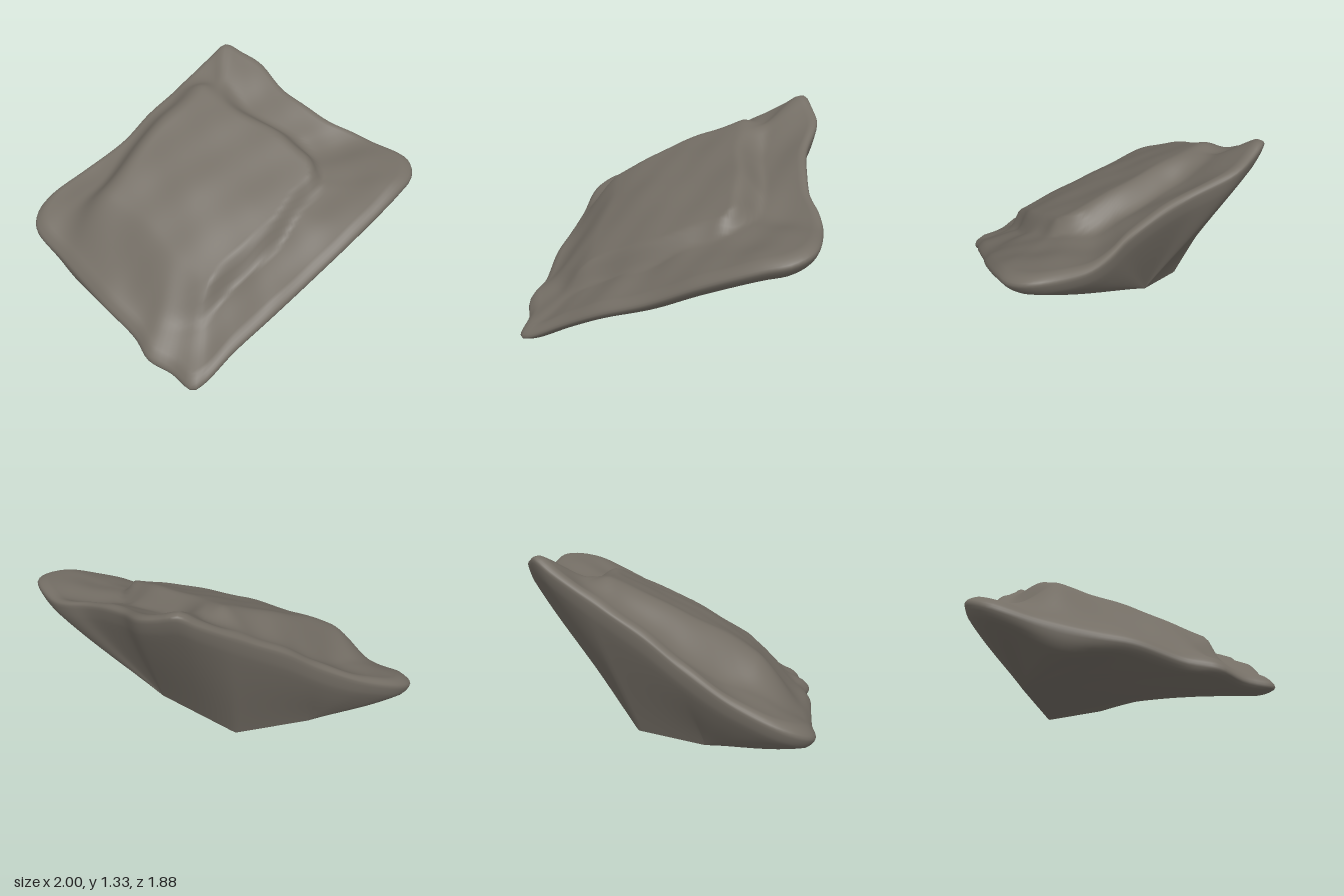
import * as THREE from 'three';

const smooth = THREE.MathUtils.smoothstep;
const mix = THREE.MathUtils.lerp;

// Rim of the slab, clockwise from the high back corner
const RIM = [
  [-0.61, 1.335, -0.775], [-0.50, 1.29, -0.83], [-0.36, 1.235, -0.87], [-0.1, 1.125, -0.82],
  [0.1, 1.065, -0.83], [0.3, 0.995, -0.86], [0.45, 0.95, -0.92], [0.6, 0.92, -0.945],
  [0.88, 0.92, -0.91], [0.98, 0.89, -0.80], [0.995, 0.85, -0.65], [0.95, 0.69, -0.3],
  [0.87, 0.5, 0.02], [0.81, 0.35, 0.35], [0.74, 0.2, 0.6], [0.70, 0.07, 0.82],
  [0.67, 0.05, 0.885], [0.5, 0.07, 0.89], [0.35, 0.11, 0.935], [0.18, 0.15, 0.89],
  [-0.1, 0.23, 0.89], [-0.3, 0.26, 0.87], [-0.6, 0.32, 0.84], [-0.88, 0.40, 0.82],
  [-0.97, 0.45, 0.74], [-1.0, 0.51, 0.6], [-0.94, 0.62, 0.34], [-0.83, 0.78, 0.06],
  [-0.78, 0.94, -0.15], [-0.72, 1.08, -0.38], [-0.65, 1.27, -0.68],
];

// Bent keel along the underside
const KEEL = [[0, 0.34, -0.52], [-0.4, 0.15, -0.23], [-0.62, 0.185, 0.2]]
  .map(p => new THREE.Vector3(...p));

const wobble = (x, z) =>
  Math.sin(7 * x + 3 * z + 1) * Math.sin(8 * z - 2 * x) +
  0.6 * Math.sin(15 * x - 6 * z) * Math.sin(13 * z + 5 * x + 2);

// How far a point lies within the raised panel, 0 to 1
function panelWeight(x, z) {
  const wave = 0.02 * Math.sin(9 * z + 1) + 0.012 * Math.sin(11 * x);
  const right = smooth(0.62 - 0.09 * (z + 0.4) + wave - x, 0, 0.08);
  const left = smooth(x + 0.76 + wave, 0, 0.32);
  const back = smooth(z + 0.56 + 0.06 * x + wave, 0, 0.17);
  const front = smooth(0.82 + wave - z, 0, 0.32);
  // Worn corners on the right
  const frontCorner = smooth(1.14 - x - z, 0, 0.18);
  const backCorner = smooth(1.0 - x + z, 0, 0.14);
  return right * left * back * front * frontCorner * backCorner;
}

function topPoint(rim, r) {
  const x = rim.x * r, z = rim.z * r;
  const lip = 0.045 * Math.sqrt(Math.min(1, (1 - r) / 0.05));
  const base = mix(0.70, rim.y, r) + lip + 0.013 * wobble(x, z) * (1 - r ** 8);
  const zf = Math.max(z, 0), xr = Math.max(x, 0);
  const panel = 0.91 - 0.26 * x - 0.45 * z - 0.26 * zf * zf - 0.09 * xr * xr
    + 0.007 * wobble(x, z);
  return [x, mix(base, Math.max(base, panel), panelWeight(x, z)), z];
}

// Point on the keel level with a rim point
function keelPoint(rim) {
  const [q, p, e] = KEEL;
  const dx = e.x - q.x, dz = e.z - q.z;
  const along = v => ((v.x - q.x) * dx + (v.z - q.z) * dz) / (dx * dx + dz * dz);
  const t = THREE.MathUtils.clamp(along(rim), 0, 1), bend = along(p);
  return t < bend
    ? q.clone().lerp(p, t / bend)
    : p.clone().lerp(e, (t - bend) / (1 - bend));
}

function bottomPoint(rim, r) {
  const p = keelPoint(rim).lerp(rim, r);
  // The edge is thicker along the left part of the front and down the left side
  const frontLip = 0.05 * smooth(rim.z, 0.6, 0.85) * Math.exp(-(((rim.x + 0.48) / 0.2) ** 2));
  const leftLip = 0.02 * smooth(-rim.x, 0.65, 0.8) * smooth(0.5 - rim.z, 0, 0.4);
  const lip = (0.05 + frontLip + leftLip)
    * Math.sqrt(Math.min(1, (1 - r) / 0.06)) * smooth(r, 0, 0.9);
  // Hollow towards the low front corner, slightly full elsewhere
  const hollow = 0.065 * smooth(rim.x + rim.z, 0.5, 1.5);
  const bulge = 4 * r * (1 - r) * (0.01 - hollow);
  return [p.x, p.y - lip - bulge, p.z];
}

function slabGeometry() {
  const N = 180;
  const rim = new THREE.CatmullRomCurve3(RIM.map(p => new THREE.Vector3(...p)), true)
    .getSpacedPoints(N).slice(0, N);

  // Rings run from the middle of the top, over the rim, to the keel
  const topR = [], bottomR = [];
  for (let i = 0; i < 40; i++) topR.push(0.005 + 0.945 * i / 39);
  topR.push(0.97, 0.985, 0.995, 1);
  bottomR.push(0.995, 0.98, 0.96, 0.93);
  for (let i = 1; i <= 12; i++) bottomR.push(0.93 * (1 - i / 12));

  const pos = [], index = [];
  for (const r of topR) for (const p of rim) pos.push(...topPoint(p, r));
  for (const r of bottomR) for (const p of rim) pos.push(...bottomPoint(p, r));

  const rows = topR.length + bottomR.length;
  for (let i = 0; i < rows - 1; i++) {
    for (let j = 0; j < N; j++) {
      const k = (j + 1) % N;
      const a = i * N + j, b = a + N, c = (i + 1) * N + k, d = i * N + k;
      index.push(a, c, b, a, d, c);
    }
  }
  // Cap the small opening at the middle of the top
  const centre = pos.length / 3;
  pos.push(...topPoint(rim[0], 0));
  for (let j = 0; j < N; j++) index.push(centre, (j + 1) % N, j);

  const g = new THREE.BufferGeometry();
  g.setAttribute('position', new THREE.Float32BufferAttribute(pos, 3));
  g.setIndex(index);
  g.computeBoundingBox();
  g.translate(0, -g.boundingBox.min.y, 0);
  g.computeVertexNormals();
  return g;
}

export function createModel() {
  const stone = new THREE.MeshStandardMaterial({ color: 0x746e65 });
  stone.name = 'grey brown stone';
  const slab = new THREE.Mesh(slabGeometry(), stone);
  slab.name = 'rockSlab';
  const model = new THREE.Group();
  model.name = 'tiltedRock';
  model.add(slab);
  return model;
}
